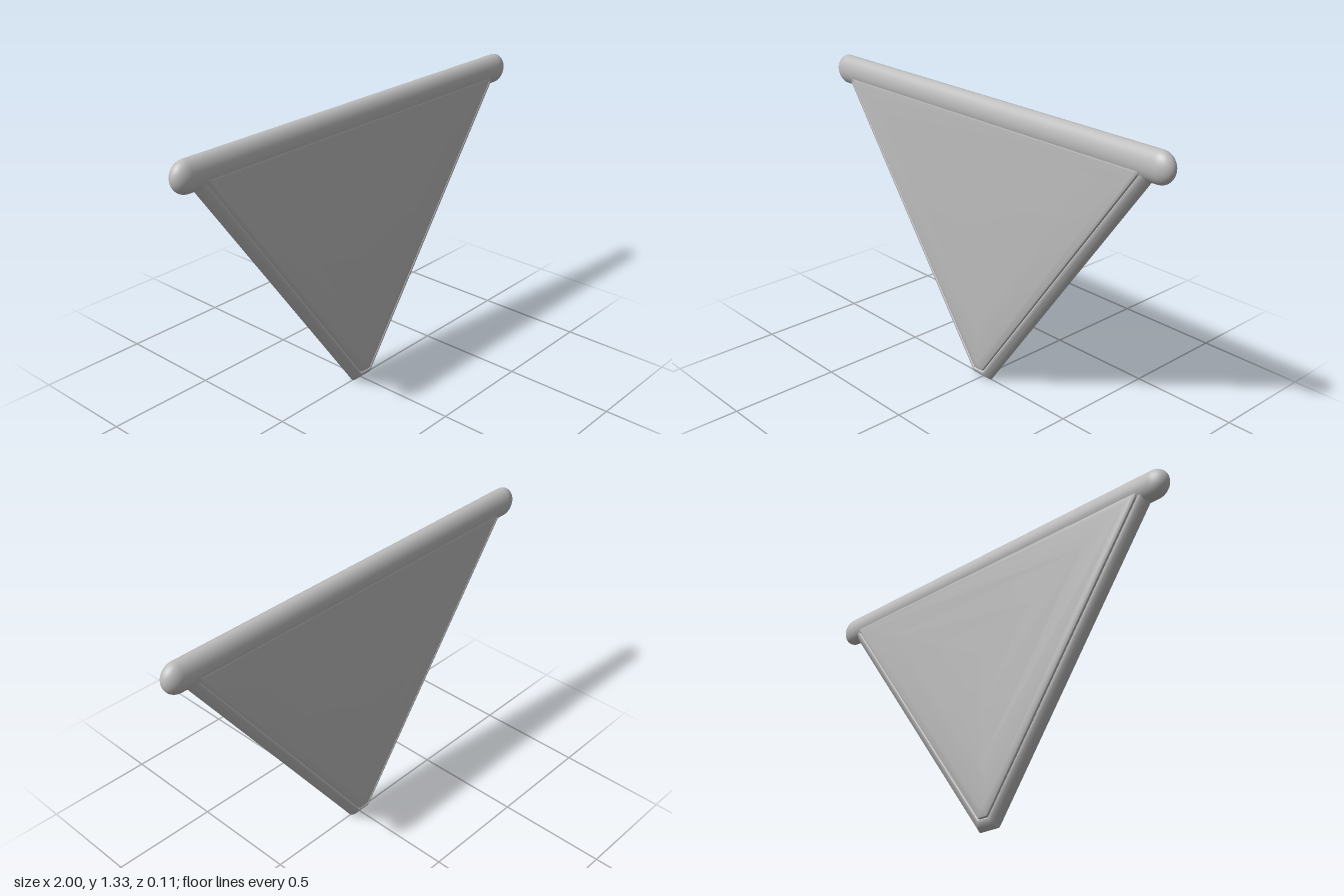
import * as THREE from 'three';
import { toCreasedNormals } from 'three/addons/utils/BufferGeometryUtils.js';

const TOP = 1.287, TIP = 0.05, SLOPE = 0.714;
const SLANT = Math.hypot(1, SLOPE);

// Corners of the tapered outline moved inward by d, counter-clockwise
function outline(d) {
  const side = (y) => Math.max(0, TIP + SLOPE * y - d * SLANT);
  const low = Math.max(d, (d * SLANT - TIP) / SLOPE);
  const high = TOP - d;
  const a = side(low), b = side(high);
  return [[-a, low], [a, low], [b, high], [-b, high]];
}

// Skin joining nested outlines; profile lists [inset, half thickness]
function nestedSkin(profile) {
  const pos = [];
  for (const s of [1, -1]) {
    for (let i = 0; i < profile.length - 1; i++) {
      const [d0, z0] = profile[i], [d1, z1] = profile[i + 1];
      const outer = outline(d0).map(([x, y]) => [x, y, s * z0]);
      const inner = outline(d1).map(([x, y]) => [x, y, s * z1]);
      for (let k = 0; k < 4; k++) {
        const n = (k + 1) % 4;
        const tris = [[outer[k], outer[n], inner[n]], [outer[k], inner[n], inner[k]]];
        for (const t of tris) pos.push(...(s > 0 ? t : t.reverse()).flat());
      }
    }
  }
  const geo = new THREE.BufferGeometry();
  geo.setAttribute('position', new THREE.Float32BufferAttribute(pos, 3));
  return toCreasedNormals(geo, 0.6);
}

export function createModel() {
  const group = new THREE.Group();
  const grey = new THREE.MeshStandardMaterial({ color: 0xbcbcbc });
  grey.name = 'grey';

  const add = (name, geo) => {
    const mesh = new THREE.Mesh(geo, grey);
    mesh.name = name;
    group.add(mesh);
    return mesh;
  };

  // Rounded rim that ends in a shallow groove
  add('rim', nestedSkin([
    [0, 0], [0.005, 0.011], [0.013, 0.021], [0.023, 0.03],
    [0.033, 0.036], [0.04, 0.037], [0.044, 0.034], [0.047, 0.028],
  ]));

  // Softly bulging panel with a bevelled edge
  add('panel', nestedSkin([
    [0.047, 0.028], [0.05, 0.039], [0.06, 0.043], [0.085, 0.047],
    [0.2, 0.05], [0.35, 0.052], [0.499, 0.053],
  ]));

  // Top bar with rounded ends, oval in section
  const bar = new THREE.CapsuleGeometry(0.067, 1.866, 12, 40);
  bar.rotateZ(Math.PI / 2).scale(1, 1, 0.67).translate(0, 1.258, 0);
  add('topBar', bar);

  return group;
}
